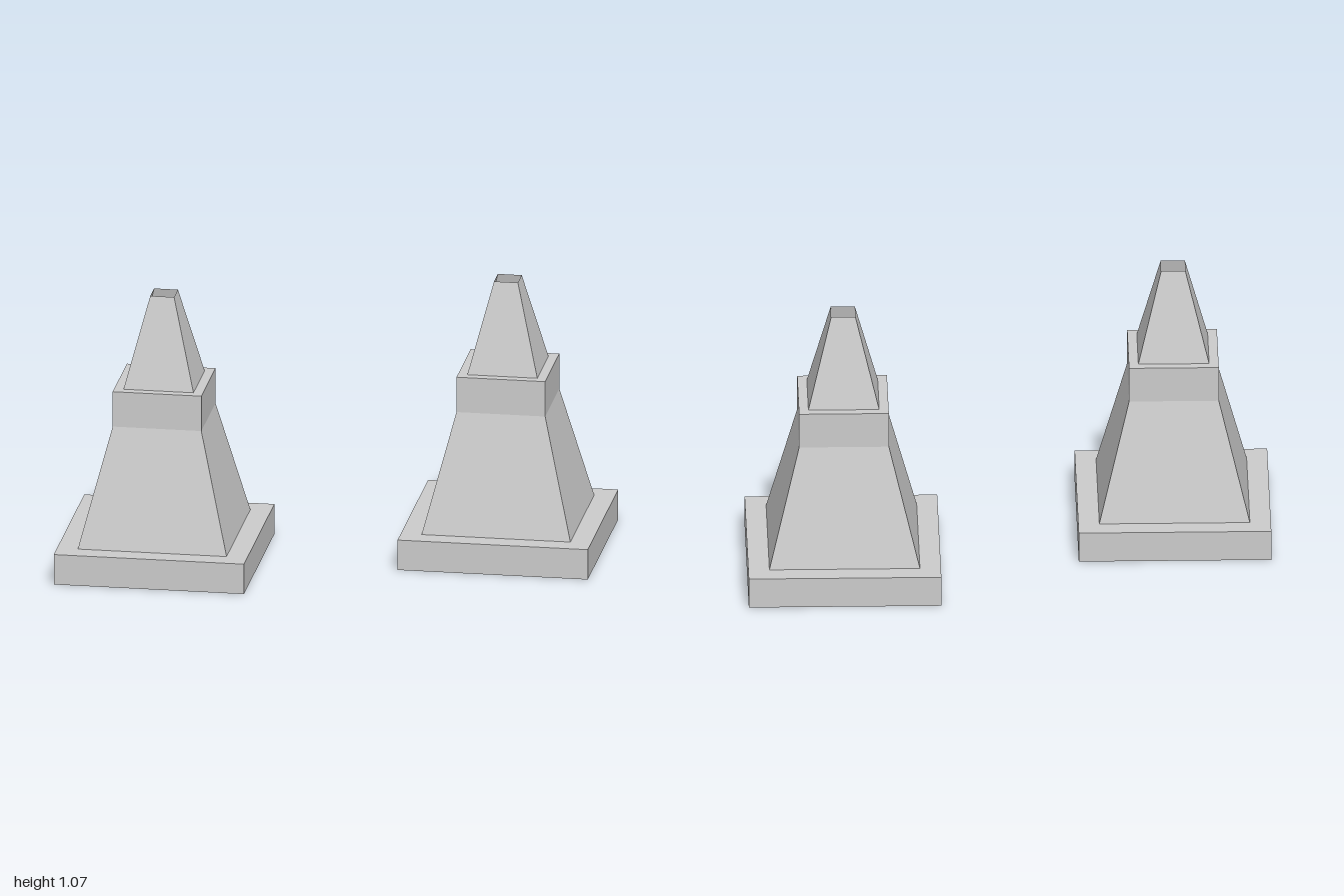
import * as THREE from 'three';

const material = new THREE.MeshStandardMaterial({ color: 0xcccccc, flatShading: true });
const openMaterial = new THREE.MeshStandardMaterial({ color: 0xcccccc, flatShading: true, side: THREE.DoubleSide });

// Square-plan solid from a profile of [half width, height], bottom to top
function squareTier(name, profile, mat = material) {
  const points = profile.map(([half, y]) => new THREE.Vector2(half * Math.SQRT2, y));
  const geometry = new THREE.LatheGeometry(points, 4, Math.PI / 4).toNonIndexed();
  geometry.computeVertexNormals();
  const mesh = new THREE.Mesh(geometry, mat);
  mesh.name = name;
  return mesh;
}

function createTower(name, x, z) {
  const tower = new THREE.Group();
  tower.name = name;
  tower.position.set(x, 0, z);

  // Square plinth
  const plinth = new THREE.Mesh(new THREE.BoxGeometry(0.734, 0.12, 0.734), material);
  plinth.name = 'plinth';
  plinth.position.y = 0.06;

  tower.add(
    plinth,
    // Sloping body rising into an upright collar with a flat top
    squareTier('bodyAndCollar', [[0.287, 0.12], [0.171, 0.58], [0.171, 0.72], [0, 0.72]]),
    // Thin tapered chimney, open at the top
    squareTier('openChimney', [[0.135, 0.72], [0.046, 1.07]], openMaterial)
  );
  return tower;
}

export function createModel() {
  const model = new THREE.Group();
  model.name = 'twinTowers';
  // Two identical towers, staggered front to back
  model.add(createTower('rightTower', -0.633, 0.19), createTower('leftTower', 0.633, -0.19));
  return model;
}
